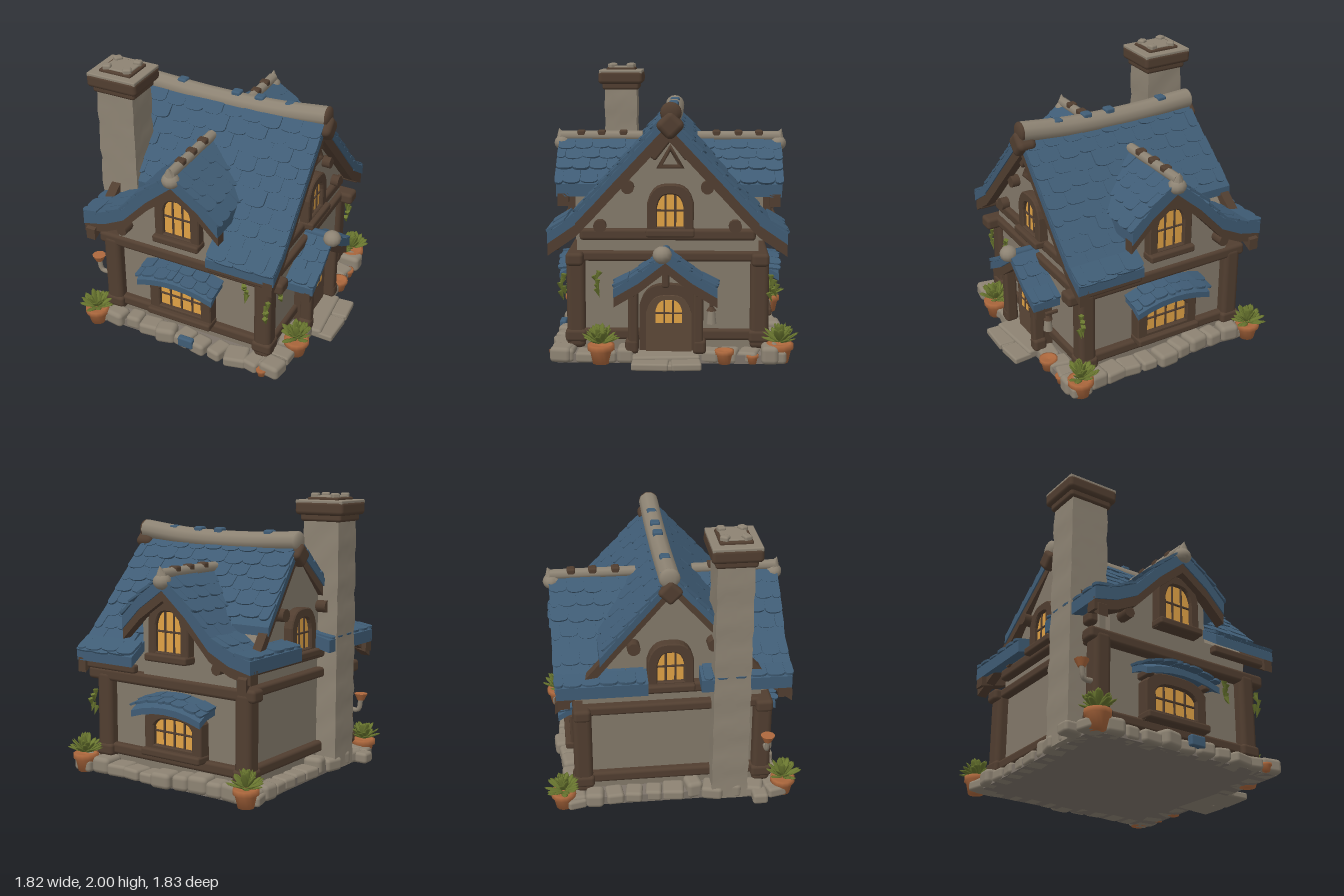
import * as THREE from 'three';
import { mergeGeometries } from 'three/addons/utils/BufferGeometryUtils.js';
import { RoundedBoxGeometry } from 'three/addons/geometries/RoundedBoxGeometry.js';

const mat = (name, color, double) => {
  const m = new THREE.MeshStandardMaterial({ color });
  m.name = name;
  if (double) m.side = THREE.DoubleSide;
  return m;
};
const V = (x, y, z) => new THREE.Vector3(x, y, z);

export function createModel() {
  const root = new THREE.Group();
  root.name = 'cottage';
  const roof = mat('slate blue', 0x3f5c75, true), timber = mat('timber brown', 0x513e30, true);
  const plaster = mat('plaster', 0x83796a), stone = mat('stone', 0x8d8373);
  const glass = mat('lit glass', 0xe0a245), doorMat = mat('door wood', 0x5d4838);
  const clay = mat('terracotta', 0xad683d), leaf = mat('leaf green', 0x6b7830, true);
  const under = mat('foundation', 0x7d746a);

  let seed = 7;
  const rnd = (a = 0, b = 1) => {
    seed = (seed * 16807) % 2147483647;
    return a + (b - a) * (seed / 2147483647);
  };
  const add = (parent, name, geo, material, p = [0, 0, 0], r = [0, 0, 0]) => {
    const m = new THREE.Mesh(geo, material);
    m.name = name;
    m.position.set(...p);
    m.rotation.set(...r);
    parent.add(m);
    return m;
  };
  const group = (name, p = [0, 0, 0], ry = 0) => {
    const g = new THREE.Group();
    g.name = name;
    g.position.set(...p);
    g.rotation.y = ry;
    root.add(g);
    return g;
  };
  const box = (parent, name, m, s, p, r) =>
    add(parent, name, new RoundedBoxGeometry(...s, 2, Math.min(...s) * 0.28), m, p, r);
  const ball = (parent, name, m, s, p) => add(parent, name, new THREE.SphereGeometry(1, 12, 8), m, p).scale.set(...s);
  const at = (v, h) => (typeof v === 'function' ? v(h) : v);

  // Closed strip swept along a roof profile; map turns (along, out, height) into a point
  const slab = (parent, name, m, prof, map, u0, u1, top, bottom) => {
    const rings = prof.map(([h, y]) => {
      const a = at(u0, h), b = at(u1, h);
      return [map(a, h, y - top), map(b, h, y - top), map(b, h, y - bottom), map(a, h, y - bottom)];
    });
    const pos = [];
    const quad = (a, b, c, d) => [a, b, c, a, c, d].forEach(v => pos.push(v.x, v.y, v.z));
    for (let i = 0; i < rings.length - 1; i++)
      for (let j = 0; j < 4; j++)
        quad(rings[i][j], rings[i][(j + 1) % 4], rings[i + 1][(j + 1) % 4], rings[i + 1][j]);
    quad(...[...rings[0]].reverse());
    quad(...rings[rings.length - 1]);
    const g = new THREE.BufferGeometry();
    g.setAttribute('position', new THREE.Float32BufferAttribute(pos, 3));
    g.computeVertexNormals();
    return add(parent, name, g, m);
  };

  // Rounded shingles laid in staggered rows down a profile, the last row trimmed at the eave
  const shape = new THREE.Shape();
  shape.moveTo(-0.5, 0); shape.lineTo(-0.5, -0.8);
  shape.quadraticCurveTo(-0.45, -1, 0, -1);
  shape.quadraticCurveTo(0.45, -1, 0.5, -0.8); shape.lineTo(0.5, 0);
  const tileGeo = new THREE.ExtrudeGeometry(shape, { depth: 1, bevelEnabled: false, curveSegments: 4 });
  const shingles = (parent, name, prof, map, u0, u1, skip = () => false, row = 0.11, width = 0.13) => {
    const tiles = [];
    const lens = prof.slice(1).map(([h, y], i) => Math.hypot(h - prof[i][0], y - prof[i][1]));
    let s = 0, count = 0, left = lens.reduce((a, b) => a + b, 0);
    lens.forEach((len, i) => {
      const [h0, y0] = prof[i], [h1, y1] = prof[i + 1];
      for (; s < len && left - s > 0.03; s += row) {
        const h = h0 + (h1 - h0) * s / len, y = y0 + (y1 - y0) * s / len, a0 = at(u0, h), b0 = at(u1, h);
        const n = Math.max(2, Math.round((b0 - a0) / width)), w = (b0 - a0) / n, off = count++ % 2 ? 0.5 : 0;
        for (let k = 0; k < n + (off ? 1 : 0); k++) {
          const l = Math.max(a0, a0 + (k - off) * w), r = Math.min(b0, a0 + (k + 1 - off) * w), u = (l + r) / 2;
          if (skip(u, h)) continue;
          const p = map(u, h, y), x = map(u + 0.01, h, y).sub(p).normalize();
          const e = p.clone().sub(map(u, h + h1 - h0, y + y1 - y0)).normalize();
          const nrm = x.clone().cross(e);
          if (nrm.y < 0) { nrm.negate(); x.negate(); }
          const long = Math.min(row * rnd(1.15, 1.35), left - s + rnd(0, 0.015));
          tiles.push(tileGeo.clone().scale((r - l) * 0.99, long, rnd(0.012, 0.02))
            .rotateX(-0.07).rotateZ(rnd(-0.03, 0.03))
            .applyMatrix4(new THREE.Matrix4().makeBasis(x, e, nrm).setPosition(p)));
        }
      }
      s -= len;
      left -= len;
    });
    add(parent, name, mergeGeometries(tiles), roof);
  };

  // Foundation and walls
  add(root, 'foundation', new THREE.BoxGeometry(1.5, 0.06, 1.5), under, [-0.03, 0.03, 0]);
  const wall = new THREE.Shape([[-0.62, 0.05], [0.62, 0.05], [0.62, 0.92], [0, 1.58], [-0.62, 0.92]]
    .map(p => new THREE.Vector2(...p)));
  add(root, 'walls', new THREE.ExtrudeGeometry(wall, { depth: 1.23, bevelEnabled: false }), plaster,
    [-0.65, 0, 0], [0, Math.PI / 2, 0]);

  // Timber frame
  for (const z of [-0.63, 0.63]) {
    for (const x of [-0.66, 0.55]) {
      box(root, 'cornerPost', timber, [0.13, 0.66, 0.13], [x, 0.4, z]);
      box(root, 'postFoot', timber, [0.15, 0.09, 0.15], [x, 0.16, z]);
    }
    box(root, 'longBeam', timber, [1.46, 0.09, 0.12], [-0.03, 0.71, z]);
    box(root, 'longSill', timber, [1.2, 0.08, 0.08], [-0.05, 0.17, z]);
  }
  for (const x of [-0.66, 0.57]) {
    box(root, 'sideSill', timber, [0.08, 0.08, 1.2], [x, 0.17, 0]);
    box(root, 'sideBeam', timber, [0.1, 0.07, 1.36], [x, 0.72, 0]);
    box(root, 'gableBeam', timber, [0.1, 0.08, 1.2], [x, 0.87, 0]);
    for (const z of [-0.46, 0.46, -0.27, 0.27])
      add(root, 'purlinEnd', new THREE.CylinderGeometry(0.045, 0.045, 0.14, 10), timber,
        [x, 0.93 + (0.46 - Math.abs(z)) * 1.4, z], [0, 0, Math.PI / 2]);
  }

  // Main roof with gable boards; the left part stops where the dormer roofs sweep over it
  const mainProf = [[0, 1.68], [0.39, 1.265], [0.5, 1.145], [0.62, 1.02], [0.81, 0.89]];
  const left = h => -0.66 - 0.16 * h, right = 0.69;
  for (const sz of [-1, 1]) {
    const map = (u, h, y) => V(u, y, h * sz);
    slab(root, 'roofSlab', roof, mainProf.slice(0, 3), map, left, right, 0, 0.06);
    slab(root, 'roofLowerSlab', roof, mainProf.slice(2, 4), map, -0.45, right, 0, 0.06);
    slab(root, 'roofEave', roof, mainProf.slice(3), map, 0.18, right, 0, 0.07);
    shingles(root, 'roofShingles', mainProf, map, left, right,
      (u, h) => u < 0.22 && h > (u < -0.45 ? 0.4 : 0.54), 0.11, 0.15);
    slab(root, 'gableBoardRight', timber, mainProf, map, 0.61, 0.68, 0.05, 0.155);
    slab(root, 'gableBoardLeft', timber, mainProf, map, h => left(h) + 0.01, h => left(h) + 0.08, 0.04, 0.125);
    box(root, 'eaveBeam', timber, [0.5, 0.06, 0.06], [0.43, 0.8, 0.76 * sz]);
  }
  const ridge = new THREE.CatmullRomCurve3([V(-0.66, 1.675, -0.025), V(-0.2, 1.655, -0.025), V(0.3, 1.665, -0.025), V(0.69, 1.705, -0.025)]);
  add(root, 'ridgeCap', new THREE.TubeGeometry(ridge, 20, 0.072, 10), stone);
  ball(root, 'ridgeEnd', stone, [0.03, 0.072, 0.072], [-0.66, 1.675, -0.025]);
  ball(root, 'ridgeEnd', timber, [0.03, 0.072, 0.072], [0.69, 1.705, -0.025]);
  for (const x of [-0.43, 0, 0.18, 0.41]) box(root, 'ridgePatch', roof, [0.07, 0.05, 0.07], [x, 1.72, -0.03]);
  box(root, 'ridgeBeamEnd', timber, [0.14, 0.15, 0.15], [0.67, 1.62, -0.02], [0.78, 0, 0]);
  box(root, 'ridgeBeamEnd', timber, [0.1, 0.13, 0.13], [-0.66, 1.58, -0.02], [0.78, 0, 0]);
  add(root, 'gableKnot', new THREE.TorusGeometry(0.085, 0.026, 6, 3), timber, [0.62, 1.38, -0.02], [0, Math.PI / 2, 0])
    .rotateZ(Math.PI / 2);
  for (const s of [-1, 1])
    box(root, 'gableBrace', timber, [0.06, 0.05, 0.2], [0.61, 1.47, -0.02 + 0.06 * s], [0.9 * s, 0, 0]);

  // Arched window: frame with a hole, lit pane, bars and sill, facing +z
  const arch = (Type, w, h, rise) => {
    const s = new Type();
    s.moveTo(-w / 2, 0); s.lineTo(w / 2, 0); s.lineTo(w / 2, h - rise);
    s.bezierCurveTo(w * 0.4, h, w * 0.2, h, 0, h);
    s.bezierCurveTo(-w * 0.2, h, -w * 0.4, h, -w / 2, h - rise);
    return s;
  };
  const windowAt = (name, p, ry, w, h, rise, t, cols, depth = 0.07) => {
    const g = group(name, p, ry);
    const f = arch(THREE.Shape, w, h, rise), iw = w - 2 * t, ih = h - 2 * t;
    f.holes.push(new THREE.Path(arch(THREE.Shape, iw, ih, rise * 0.8).getPoints(6).map(q => q.add(new THREE.Vector2(0, t)))));
    add(g, 'frame', new THREE.ExtrudeGeometry(f, { depth, bevelEnabled: true, bevelSize: 0.008, bevelThickness: 0.008, bevelSegments: 1, curveSegments: 6 }), timber);
    add(g, 'pane', new THREE.ExtrudeGeometry(arch(THREE.Shape, iw + 0.01, ih + 0.01, rise * 0.8), { depth: 0.008, bevelEnabled: false, curveSegments: 6 }), glass, [0, t - 0.005, depth * 0.6]);
    for (let i = 1; i < cols; i++) box(g, 'bar', timber, [0.014, ih, 0.02], [-iw / 2 + iw * i / cols, t + ih / 2, depth * 0.7]);
    box(g, 'crossBar', timber, [iw, 0.014, 0.02], [0, t + ih * 0.5, depth * 0.7]);
    box(g, 'sill', timber, [w + 0.03, 0.055, depth + 0.05], [0, 0.02, depth / 2 + 0.02]);
  };
  windowAt('gableWindowRight', [0.57, 0.87, -0.02], Math.PI / 2, 0.3, 0.34, 0.12, 0.052, 3);
  windowAt('gableWindowLeft', [-0.64, 0.87, -0.02], -Math.PI / 2, 0.3, 0.34, 0.12, 0.052, 3);

  // Front and back: dormer, lower window and its awning
  const dormerRight = [[0, 1.46], [0.2, 1.32], [0.35, 1.17]];
  const dormerLeft = [[0, 1.46], [0.2, 1.29], [0.39, 1.09], [0.55, 1.01], [0.72, 0.97]];
  const dormerWall = new THREE.Shape([[-0.6, 0.74], [0.19, 0.74], [0.19, 1.16], [-0.08, 1.4], [-0.42, 1.02], [-0.6, 0.92]]
    .map(p => new THREE.Vector2(...p)));
  for (const sz of [-1, 1]) {
    const ry = sz > 0 ? 0 : Math.PI;
    add(root, 'dormerWall', new THREE.ExtrudeGeometry(dormerWall, { depth: 0.4, bevelEnabled: false }), plaster,
      [0, 0, sz > 0 ? 0.27 : -0.67]);
    for (const [sx, prof] of [[1, dormerRight], [-1, dormerLeft]]) {
      const map = (u, h, y) => V(-0.08 + h * sx, y, u * sz);
      slab(root, 'dormerRoof', roof, prof, map, 0.18, 0.8, 0, 0.09);
      shingles(root, 'dormerShingles', prof, map, 0.2, 0.81);
      slab(root, 'dormerBoard', timber, prof, map, 0.71, 0.79, 0.07, 0.16);
    }
    add(root, 'dormerRidge', new THREE.CylinderGeometry(0.038, 0.038, 0.6, 8), stone, [-0.08, 1.48, 0.5 * sz], [Math.PI / 2, 0, 0]);
    for (const z of [0.34, 0.5, 0.65]) box(root, 'dormerRidgeBand', timber, [0.07, 0.05, 0.06], [-0.08, 1.5, z * sz]);
    ball(root, 'dormerKnob', stone, [0.065, 0.055, 0.06], [-0.08, 1.43, 0.79 * sz]);
    add(root, 'dormerFinial', new THREE.ConeGeometry(0.06, 0.1, 7), stone, [-0.08, 1.49, 0.8 * sz], [0.3 * sz, 0, 0]);
    add(root, 'dormerStrut', new THREE.CylinderGeometry(0.04, 0.04, 0.14, 8), timber, [-0.51, 0.88, 0.7 * sz], [Math.PI / 2, 0, 0]);
    windowAt('dormerWindow', [-0.08, 0.88, 0.66 * sz], ry, 0.33, 0.4, 0.13, 0.052, 3);
    windowAt('lowerWindow', [-0.09, 0.2, 0.62 * sz], ry, 0.48, 0.34, 0.08, 0.065, 4, 0.08);
    for (const sx of [-1, 1]) {
      const map = (u, h, y) => V(-0.09 + u * sx, y - u * u * 0.6, (0.61 + h) * sz);
      const prof = [[0, 0.63], [0.1, 0.61], [0.18, 0.565]];
      for (const u of [0, 0.1, 0.2]) slab(root, 'awning', roof, prof, map, u, u + 0.1, 0, 0.045);
      shingles(root, 'awningShingles', prof, map, 0, 0.31, undefined, 0.09, 0.12);
      box(root, 'awningBracket', timber, [0.05, 0.05, 0.14], [-0.09 + 0.23 * sx, 0.515, 0.68 * sz]);
    }
  }

  // Porch, door and steps on the right side
  const porch = group('porch', [0, 0, 0.01]);
  const porchProf = [[0, 0.77], [0.18, 0.63], [0.35, 0.53]];
  for (const sz of [-1, 1]) {
    const map = (u, h, y) => V(u, y, h * sz);
    slab(porch, 'porchRoof', roof, porchProf, map, 0.56, 0.79, 0, 0.06);
    shingles(porch, 'porchShingles', porchProf, map, 0.56, 0.8, undefined, 0.1, 0.12);
    slab(porch, 'porchBoard', timber, porchProf, map, 0.7, 0.77, 0.05, 0.13);
    box(porch, 'porchPost', timber, [0.09, 0.44, 0.07], [0.7, 0.29, 0.22 * sz]);
    box(porch, 'postStone', timber, [0.1, 0.1, 0.09], [0.7, 0.12, 0.23 * sz]);
    box(porch, 'porchBeam', timber, [0.2, 0.06, 0.07], [0.66, 0.5, 0.24 * sz]);
  }
  box(porch, 'porchKingPost', timber, [0.06, 0.18, 0.05], [0.72, 0.62, 0]);
  ball(porch, 'porchFinial', stone, [0.065, 0.06, 0.065], [0.79, 0.765, 0.02]);
  add(porch, 'porchRidge', new THREE.CylinderGeometry(0.03, 0.035, 0.22, 8), roof, [0.69, 0.765, 0], [0, 0, Math.PI / 2]);
  const door = group('door', [0.58, 0.07, -0.01], Math.PI / 2);
  const doorExtrude = d => ({ depth: d, bevelEnabled: false, curveSegments: 6 });
  add(door, 'doorFrame', new THREE.ExtrudeGeometry(arch(THREE.Shape, 0.4, 0.46, 0.14), doorExtrude(0.07)), timber);
  add(door, 'doorPanel', new THREE.ExtrudeGeometry(arch(THREE.Shape, 0.31, 0.39, 0.12), doorExtrude(0.02)), doorMat, [0, 0, 0.07]);
  add(door, 'doorPane', new THREE.ExtrudeGeometry(arch(THREE.Shape, 0.18, 0.16, 0.07), doorExtrude(0.008)), glass, [0, 0.2, 0.088]);
  for (const x of [-0.03, 0.03]) box(door, 'doorBar', timber, [0.012, 0.16, 0.014], [x, 0.28, 0.096]);
  box(door, 'doorBar', timber, [0.18, 0.012, 0.014], [0, 0.27, 0.096]);
  for (const [x, z, w, d, y] of [[0.7, 0, 0.2, 0.46, 0.035], [0.83, -0.14, 0.15, 0.2, 0.025], [0.83, 0.1, 0.16, 0.25, 0.025], [0.85, -0.02, 0.1, 0.1, 0.02]])
    box(porch, 'stepStone', stone, [w, y * 2, d], [x, y, z], [0, rnd(-0.1, 0.1), 0]);

  // Footing stones around the walls
  const stoneAt = (x, z, w, d) => {
    const h = rnd(0.07, 0.13);
    box(root, 'footingStone', stone, [w, h, d], [x, h / 2, z], [0, rnd(-0.25, 0.25), 0]);
  };
  for (let i = 0; i < 11; i++) for (const s of [-1, 1]) {
    stoneAt(-0.76 + i * 0.142, s * rnd(0.69, 0.74), rnd(0.11, 0.17), rnd(0.13, 0.18));
    const z = -0.7 + i * 0.14;
    if (s < 0 || Math.abs(z) > 0.26) stoneAt(s < 0 ? rnd(-0.76, -0.71) : rnd(0.63, 0.68), z, rnd(0.13, 0.18), rnd(0.11, 0.16));
  }
  box(root, 'blueStone', roof, [0.12, 0.08, 0.05], [0, 0.08, 0.79]);
  box(root, 'cornerStone', stone, [0.12, 0.08, 0.11], [-0.85, 0.04, 0.6]);

  // Chimney: one uneven stone shaft with a heavy cap
  const chimney = group('chimney', [-0.665, 0, 0.39]);
  const shaft = new THREE.BoxGeometry(0.29, 1.82, 0.25, 4, 26, 4), sp = shaft.attributes.position;
  for (let i = 0; i < sp.count; i++) {
    const y = sp.getY(i), k = 1 - y * 0.02 + 0.022 * Math.sin(y * 23 + sp.getX(i) * 20) + 0.015 * Math.sin(y * 41 + sp.getZ(i) * 25);
    sp.setXYZ(i, sp.getX(i) * k, y, sp.getZ(i) * k);
  }
  shaft.computeVertexNormals();
  add(chimney, 'shaft', shaft, stone, [0, 0.92, 0]);
  box(chimney, 'capLower', timber, [0.33, 0.07, 0.28], [0, 1.83, 0]);
  box(chimney, 'cap', timber, [0.39, 0.1, 0.34], [0, 1.89, 0]);
  box(chimney, 'capPlate', stone, [0.38, 0.03, 0.33], [0, 1.932, 0]);
  box(chimney, 'capRim', timber, [0.25, 0.04, 0.22], [0, 1.945, 0]);
  box(chimney, 'capTop', stone, [0.21, 0.03, 0.18], [0, 1.96, 0]);
  for (const x of [-0.08, 0.08]) for (const z of [-0.07, 0.07])
    box(chimney, 'capStone', stone, [0.06, 0.05, 0.055], [x, 1.97, z], [0, rnd(0, 1), 0]);

  // Potted plants
  const potGeo = new THREE.LatheGeometry([[0, 0], [0.055, 0], [0.075, 0.09], [0.088, 0.09], [0.088, 0.125], [0.07, 0.125], [0, 0.11]].map(p => new THREE.Vector2(...p)), 14);
  const plant = (x, z, s, leaves) => {
    const g = group('pottedPlant', [x, 0, z]);
    g.scale.setScalar(s);
    add(g, 'pot', potGeo, clay);
    const list = [];
    for (let i = 0; i < leaves; i++)
      list.push(new THREE.SphereGeometry(1, 6, 4).scale(0.024, rnd(0.05, 0.07), 0.007).translate(0, 0.075, 0)
        .rotateX(rnd(0.15, 1.35)).rotateY(i * 2.4).translate(0, 0.125, 0));
    if (leaves) add(g, 'leaves', mergeGeometries(list), leaf);
  };
  plant(-0.76, 0.78, 1, 34); plant(-0.76, -0.78, 1, 34); plant(0.66, -0.77, 1.05, 34); plant(0.72, 0.45, 1.05, 34);
  plant(0.71, -0.39, 0.75, 0); plant(0.71, -0.58, 0.5, 0); plant(0.6, 0.78, 0.45, 0);

  // Wall lamp, hanging lantern and vines
  add(root, 'lampArm', new THREE.TubeGeometry(new THREE.CatmullRomCurve3([V(-0.7, 0.38, 0.65), V(-0.78, 0.38, 0.65), V(-0.8, 0.46, 0.65)]), 8, 0.018, 6), stone);
  add(root, 'lampBowl', new THREE.CylinderGeometry(0.05, 0.025, 0.05, 10), clay, [-0.8, 0.48, 0.65]);
  box(root, 'lanternArm', timber, [0.1, 0.025, 0.025], [0.63, 0.4, -0.3]);
  add(root, 'lantern', new THREE.CylinderGeometry(0.025, 0.035, 0.09, 8), stone, [0.66, 0.31, -0.3]);
  add(root, 'lanternTop', new THREE.ConeGeometry(0.035, 0.05, 8), timber, [0.66, 0.38, -0.3]);
  for (const [x, y, z] of [[0.6, 0.52, 0.47], [0.4, 0.57, 0.63], [0.62, 0.5, -0.72], [0.6, 0.5, 0.72]])
    for (let i = 0; i < 5; i++)
      add(root, 'vineLeaf', new THREE.ConeGeometry(0.022, 0.07, 4), leaf, [x + rnd(-0.01, 0.01), y + 0.06 - i * 0.03, z + rnd(-0.02, 0.02)], [Math.PI + rnd(-0.5, 0.5), rnd(0, 3), 0]);
  return root;
}
